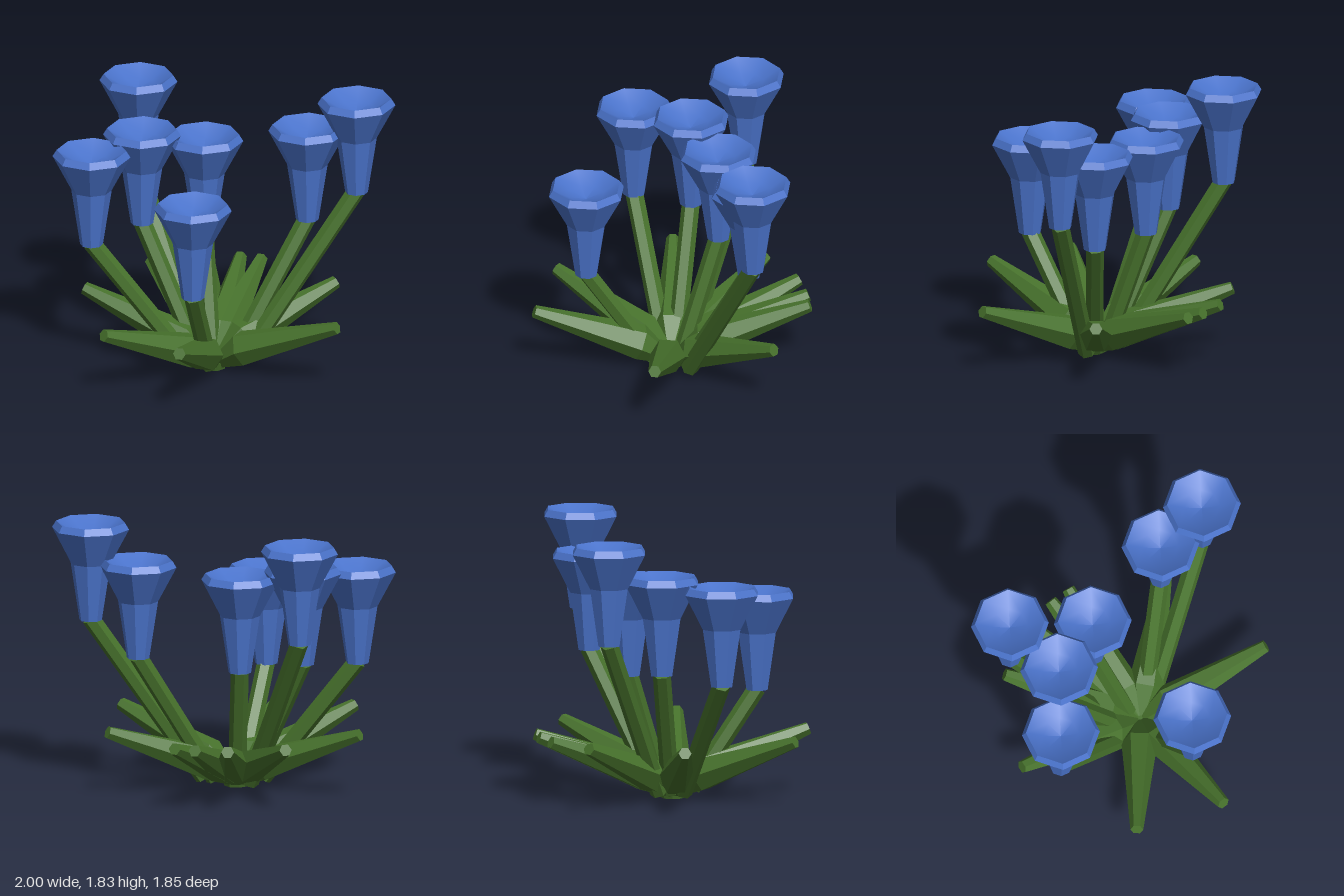
import * as THREE from 'three';

const blue = new THREE.MeshStandardMaterial({ color: 0x4a73cb });
blue.name = 'petal blue';
const green = new THREE.MeshStandardMaterial({ color: 0x47722c });
green.name = 'leaf green';

// Splits the faces so every facet is flat
function faceted(geometry) {
  const g = geometry.toNonIndexed();
  g.computeVertexNormals();
  return g;
}

function addMesh(parent, name, geometry, material) {
  const mesh = new THREE.Mesh(geometry, material);
  mesh.name = name;
  parent.add(mesh);
  return mesh;
}

const profile = (pairs) => pairs.map(([r, y]) => new THREE.Vector2(r, y));

// Radii of the bells are given to the flats, then scaled out to the corners
const toCorner = 1 / Math.cos(Math.PI / 8);
function bellLathe(pairs) {
  return new THREE.LatheGeometry(profile(pairs.map(([r, y]) => [r * toCorner, y])), 8, Math.PI / 8);
}

// Flower bell, with its rim at y = 0
const bellGeometry = faceted(bellLathe([[0, -0.67], [0.07, -0.67], [0.125, -0.28], [0.24, -0.045], [0.215, 0]]));
const cupGeometry = bellLathe([[0.215, 0], [0.11, -0.07], [0, -0.1]]);

// Six-sided leaf with flat top, lying along +z: root, wide shoulder, blunt tip
const leafGeometry = (() => {
  const rings = [[0.03, 0.05, 0.05], [0.21, 0.17, 0.12], [0.92, 0.44, 0.043]];
  const tilt = 0.37;
  const positions = [];
  const index = [];
  for (const [z, y, r] of rings) {
    for (let i = 0; i < 6; i++) {
      const a = (i * Math.PI) / 3;
      const up = Math.sin(a) * r;
      positions.push(Math.cos(a) * r, y + up * Math.cos(tilt), z - up * Math.sin(tilt));
    }
  }
  for (let k = 0; k < 2; k++) {
    for (let i = 0; i < 6; i++) {
      const a = k * 6 + i;
      const b = k * 6 + ((i + 1) % 6);
      index.push(a, b, b + 6, a, b + 6, a + 6);
    }
  }
  // End caps
  for (let i = 1; i < 5; i++) index.push(0, i + 1, i, 12, 12 + i, 13 + i);
  const g = new THREE.BufferGeometry();
  g.setAttribute('position', new THREE.Float32BufferAttribute(positions, 3));
  g.setIndex(index);
  return faceted(g);
})();

// Rim centres of the flowers
const flowers = [
  [-0.76, 1.81, -0.42], [-0.21, 1.525, -0.29], [-0.565, 1.58, -0.07], [-0.745, 1.535, 0.33],
  [0.115, 1.38, 0.56], [0.42, 1.6, -0.56], [0.755, 1.83, -0.62],
];

// Ground directions of the leaves (x, z)
const leaves = [
  [0.92, 0.02], [0.18, 0.9], [-0.42, 0.82], [-0.94, 0.09],
  [-0.73, -0.55], [-0.44, -0.81], [-0.23, -0.88], [-0.09, -0.92], [0.54, -0.73],
];

export function createModel() {
  const plant = new THREE.Group();
  plant.name = 'flowerCluster';

  // Root plate on the ground
  const root = addMesh(plant, 'root', faceted(new THREE.CylinderGeometry(0.1, 0.08, 0.06, 8)), green);
  root.position.y = 0.03;

  for (const [x, z] of leaves) {
    addMesh(plant, 'leaf', leafGeometry, green).rotation.y = Math.atan2(x, z);
  }

  for (const [x, y, z] of flowers) {
    // Slanted six-sided stem
    const start = new THREE.Vector3(x * 0.22, 0.06, z * 0.22);
    const end = new THREE.Vector3(x, y - 0.66, z);
    const along = end.clone().sub(start);
    const stem = addMesh(plant, 'stem', faceted(new THREE.CylinderGeometry(0.06, 0.06, along.length(), 6)), green);
    stem.position.copy(start).lerp(end, 0.5);
    stem.quaternion.setFromUnitVectors(new THREE.Vector3(0, 1, 0), along.normalize());

    // Upright bell with a shallow cup
    const flower = new THREE.Group();
    flower.name = 'flower';
    flower.position.set(x, y, z);
    addMesh(flower, 'bell', bellGeometry, blue);
    addMesh(flower, 'cup', cupGeometry, blue);
    plant.add(flower);
  }
  return plant;
}
